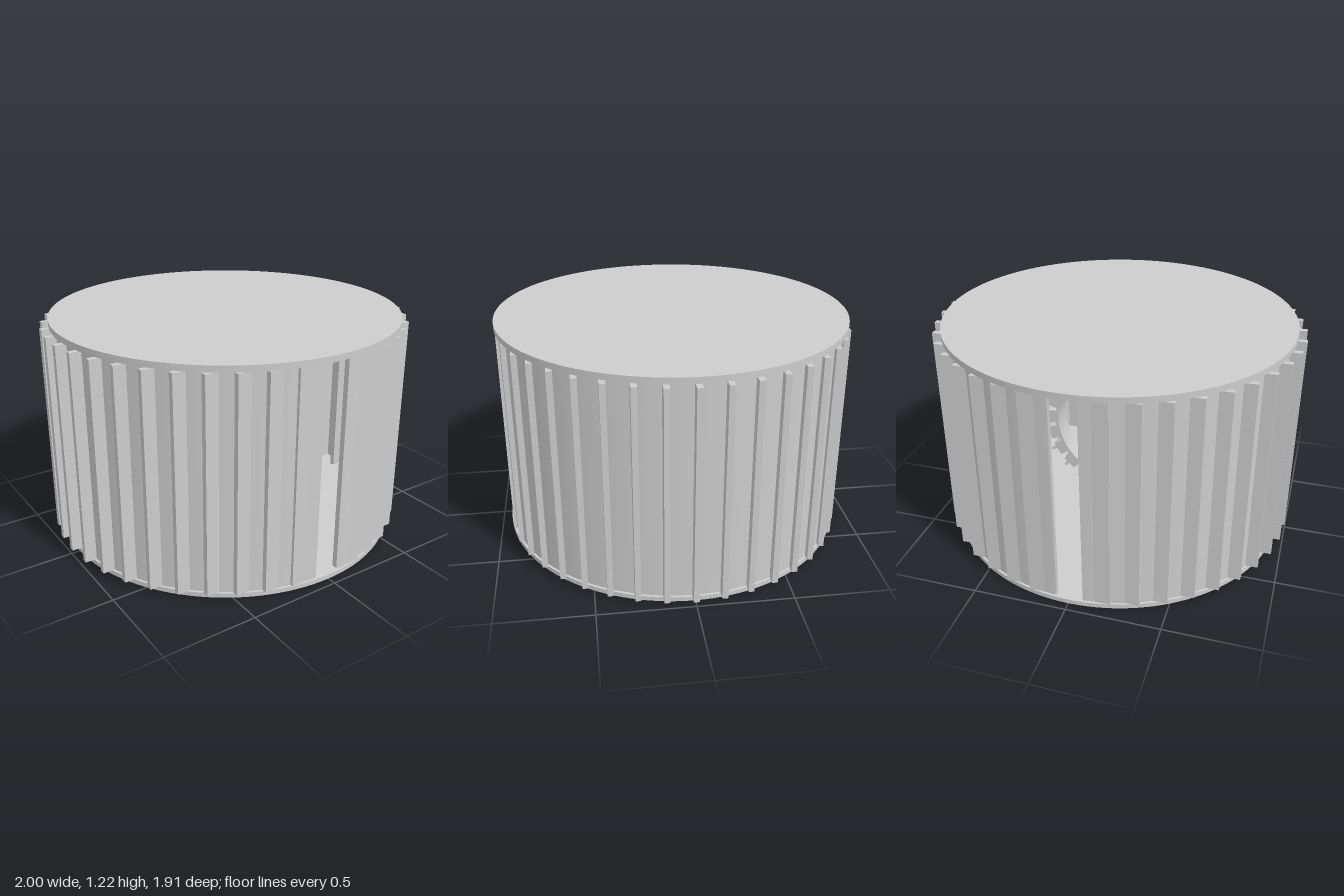
import * as THREE from 'three';

export function createModel() {
  const model = new THREE.Group();
  const grey = new THREE.MeshStandardMaterial({ color: 0xcccccc });
  grey.name = 'light grey';
  const greySheet = new THREE.MeshStandardMaterial({ color: 0xcccccc, side: THREE.DoubleSide });
  greySheet.name = 'light grey sheet';

  const add = (name, geometry, x = 0, y = 0, z = 0, parent = model, material = grey) => {
    const mesh = new THREE.Mesh(geometry, material);
    mesh.name = name;
    mesh.position.set(x, y, z);
    parent.add(mesh);
    return mesh;
  };

  const floorTop = 0.025, roofBottom = 1.182, roofTop = 1.215;
  const wallHeight = roofBottom - floorTop;
  const wallMid = (roofBottom + floorTop) / 2;

  // Floor and roof discs
  add('floor', new THREE.CylinderGeometry(0.953, 0.953, floorTop, 128), 0, floorTop / 2);
  add('roof', new THREE.CylinderGeometry(0.953, 0.953, roofTop - roofBottom, 128), 0, (roofTop + roofBottom) / 2);

  // Two curved walls, leaving a doorway at the front and the back
  const doorAngle = Math.asin(0.073 / 0.94);
  for (const [name, start] of [['leftWall', 0], ['rightWall', Math.PI]]) {
    add(name, new THREE.CylinderGeometry(0.94, 0.94, wallHeight, 64, 1, true,
      start + doorAngle, Math.PI - 2 * doorAngle), 0, wallMid, 0, model, greySheet);
  }

  // Forty slats on a circle, all lying square to the x axis, without the two at the doorways
  const slats = new THREE.Group();
  slats.name = 'slats';
  model.add(slats);
  const slatShape = new THREE.BoxGeometry(0.147, wallHeight, 0.03);
  for (let i = 0; i < 40; i++) {
    if (i === 10 || i === 30) continue;
    const a = (i / 40) * Math.PI * 2;
    add('slat', slatShape, 0.9265 * Math.cos(a), wallMid, 0.9265 * Math.sin(a), slats);
  }

  // Upright ring inside, with blocks and pins around its rim
  const ring = new THREE.Group();
  ring.name = 'ring';
  ring.position.y = 0.545;
  model.add(ring);
  const band = new THREE.Shape().absarc(0, 0, 0.375, 0, Math.PI * 2);
  band.holes.push(new THREE.Path().absarc(0, 0, 0.358, 0, Math.PI * 2, true));
  const bandShape = new THREE.ExtrudeGeometry(band, { depth: 0.12, bevelEnabled: false, curveSegments: 48 });
  add('ringBand', bandShape, 0, 0, -0.06, ring);
  const blockShape = new THREE.BoxGeometry(0.08, 0.065, 0.08);
  const pinShape = new THREE.BoxGeometry(0.014, 0.06, 0.02);
  for (let i = 0; i < 24; i++) {
    const spoke = new THREE.Group();
    spoke.name = 'ringTooth';
    spoke.rotation.z = (i / 24) * Math.PI * 2;
    ring.add(spoke);
    add('toothBlock', blockShape, 0, 0.405, 0, spoke);
    add('toothPin', pinShape, 0, 0.46, 0, spoke);
  }

  // Low plinth under the ring
  add('plinth', new THREE.BoxGeometry(0.4, 0.075, 0.2), 0, floorTop + 0.0375);

  return model;
}
